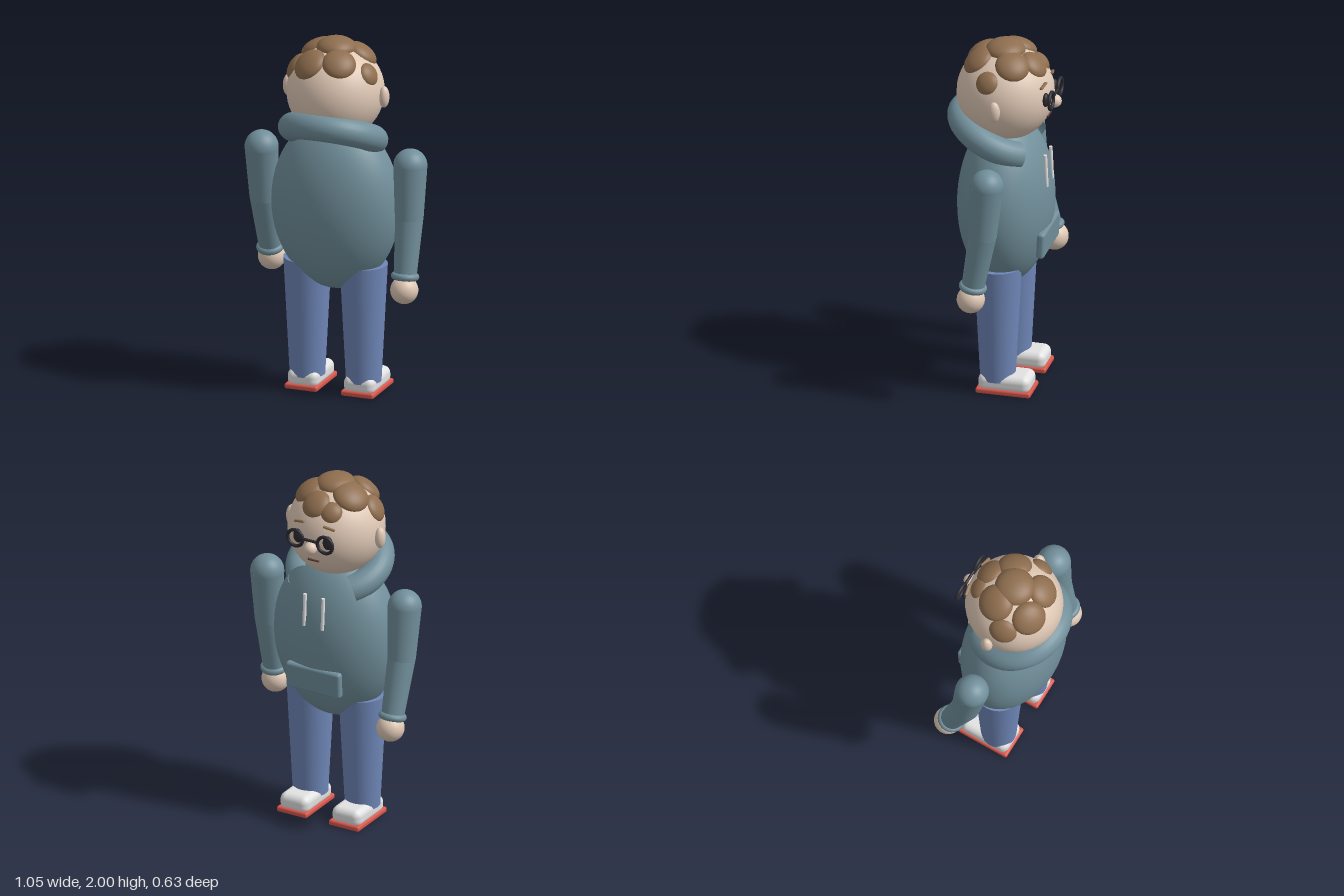
import * as THREE from 'three';
import { RoundedBoxGeometry } from 'three/addons/geometries/RoundedBoxGeometry.js';

const mat = (name, color, side = THREE.FrontSide) => {
  const m = new THREE.MeshStandardMaterial({ color, side });
  m.name = name;
  return m;
};

export function createModel() {
  const skin = mat('skin', 0xdfc8b5);
  const hair = mat('hair brown', 0x8f6e4f);
  const knit = mat('hoodie blue grey', 0x718f9b, THREE.DoubleSide);
  const denim = mat('denim', 0x6f87b8);
  const white = mat('shoe white', 0xe2e2e2);
  const red = mat('sole red', 0xd9574c);
  const dark = mat('dark frame', 0x2b2b32);
  const mouthBrown = mat('mouth brown', 0x5a3d35);

  const model = new THREE.Group();
  model.name = 'figure';
  const V = (x, y, z) => new THREE.Vector3(x, y, z);
  const UP = V(0, 1, 0);

  const add = (name, geo, material, pos = V(0, 0, 0), parent = model) => {
    const m = new THREE.Mesh(geo, material);
    m.name = name;
    m.position.copy(pos);
    parent.add(m);
    return m;
  };
  const ball = (name, material, pos, rx, ry = rx, rz = rx, parent = model) => {
    const m = add(name, new THREE.SphereGeometry(1, 40, 28), material, pos, parent);
    m.scale.set(rx, ry, rz);
    return m;
  };
  // Tapered cylinder running from a to b
  const limb = (name, material, a, b, ra, rb, parent = model) => {
    const d = b.clone().sub(a);
    const m = add(name, new THREE.CylinderGeometry(rb, ra, d.length(), 32), material,
      a.clone().add(b).multiplyScalar(0.5), parent);
    m.quaternion.setFromUnitVectors(UP, d.normalize());
    return m;
  };

  // Torso and hood roll, open at the throat
  ball('torso', knit, V(0, 1.06, -0.003), 0.36, 0.48, 0.257);
  const hoodGeo = new THREE.TorusGeometry(0.225, 0.075, 24, 64, Math.PI * 1.5);
  hoodGeo.rotateZ(-Math.PI / 4).rotateX(Math.PI / 2 - 0.44);
  add('hood', hoodGeo, knit, V(0, 1.463, 0.036));
  const pocket = add('pocket', new RoundedBoxGeometry(0.34, 0.15, 0.045, 4, 0.018), knit, V(0, 0.868, -0.235));
  pocket.rotation.x = -0.04;

  // Head and face, looking towards -z
  const headPos = V(0, 1.695, 0);
  ball('head', skin, headPos, 0.265);
  ball('nose', skin, V(0, 1.667, -0.275), 0.036);
  const mouth = add('mouth', new RoundedBoxGeometry(0.07, 0.01, 0.014, 3, 0.004), mouthBrown, V(0, 1.585, -0.241));
  mouth.rotation.x = -0.4;

  for (const s of [-1, 1]) {
    ball('ear', skin, V(s * 0.278, 1.69, -0.008), 0.028, 0.06, 0.033);
    ball('eye', dark, V(s * 0.092, 1.71, -0.247), 0.03, 0.04, 0.018);
    add('glassesRim', new THREE.TorusGeometry(0.047, 0.0095, 14, 40), dark, V(s * 0.093, 1.71, -0.278));
    const brow = add('eyebrow', new RoundedBoxGeometry(0.068, 0.014, 0.018, 3, 0.006), hair, V(s * 0.093, 1.792, -0.235));
    brow.rotation.set(0.3, s * -0.25, s * -0.15);
    limb('drawstring', white, V(s * 0.057, 1.18, -0.244), V(s * 0.057, 1.365, -0.235), 0.01, 0.01);
  }
  limb('glassesBridge', dark, V(-0.048, 1.715, -0.278), V(0.048, 1.715, -0.278), 0.008, 0.008);

  // Hair curls: flattened balls lying on the skull, [direction x, y, z, radius]
  const curls = [
    [0.005, 0.245, 0, 0.108], [-0.115, 0.215, -0.045, 0.1], [0.125, 0.208, -0.07, 0.093],
    [0.028, 0.185, -0.165, 0.082], [-0.075, 0.165, -0.178, 0.062], [-0.09, 0.18, 0.145, 0.095],
    [0.072, 0.195, 0.13, 0.092], [-0.215, 0.135, 0.055, 0.078], [0.212, 0.133, 0.048, 0.066],
  ];
  for (const [x, y, z, r] of curls) {
    const n = V(x, y, z).normalize();
    const c = ball('hairCurl', hair, headPos.clone().addScaledVector(n, 0.245), r, Math.max(r * 0.56, 0.04), r);
    c.quaternion.setFromUnitVectors(UP, n);
  }

  // Arms: one swings forward, the other back
  const arm = (name, x, zElbow, zWrist, zHand, yHand) => {
    const g = new THREE.Group();
    g.name = name;
    model.add(g);
    const shoulder = V(x, 1.32, -0.008), elbow = V(x * 1.005, 1.025, zElbow), wrist = V(x, 0.715, zWrist);
    ball('shoulder', knit, shoulder, 0.092, 0.092, 0.092, g);
    limb('upperArm', knit, shoulder, elbow, 0.092, 0.077, g);
    ball('elbow', knit, elbow, 0.076, 0.076, 0.076, g);
    limb('forearm', knit, elbow, wrist, 0.076, 0.062, g);
    const cuff = add('cuff', new THREE.TorusGeometry(0.057, 0.02, 14, 36), knit, wrist, g);
    cuff.quaternion.setFromUnitVectors(V(0, 0, 1), wrist.clone().sub(elbow).normalize());
    ball('hand', skin, V(x, yHand, zHand), 0.076, 0.076, 0.076, g);
  };
  arm('leftArm', 0.43, 0.014, 0.068, 0.08, 0.64);
  arm('rightArm', -0.432, -0.045, -0.135, -0.157, 0.655);

  // Legs and shoes
  for (const s of [-1, 1]) {
    const x = s * 0.163;
    limb('leg', denim, V(x, 0.072, 0), V(x, 0.735, 0), 0.096, 0.13);
    add('shoe', new RoundedBoxGeometry(0.178, 0.1, 0.288, 5, 0.04), white, V(x, 0.06, -0.05));
    add('sole', new RoundedBoxGeometry(0.19, 0.032, 0.305, 4, 0.012), red, V(x, 0.016, -0.05));
  }
  return model;
}
